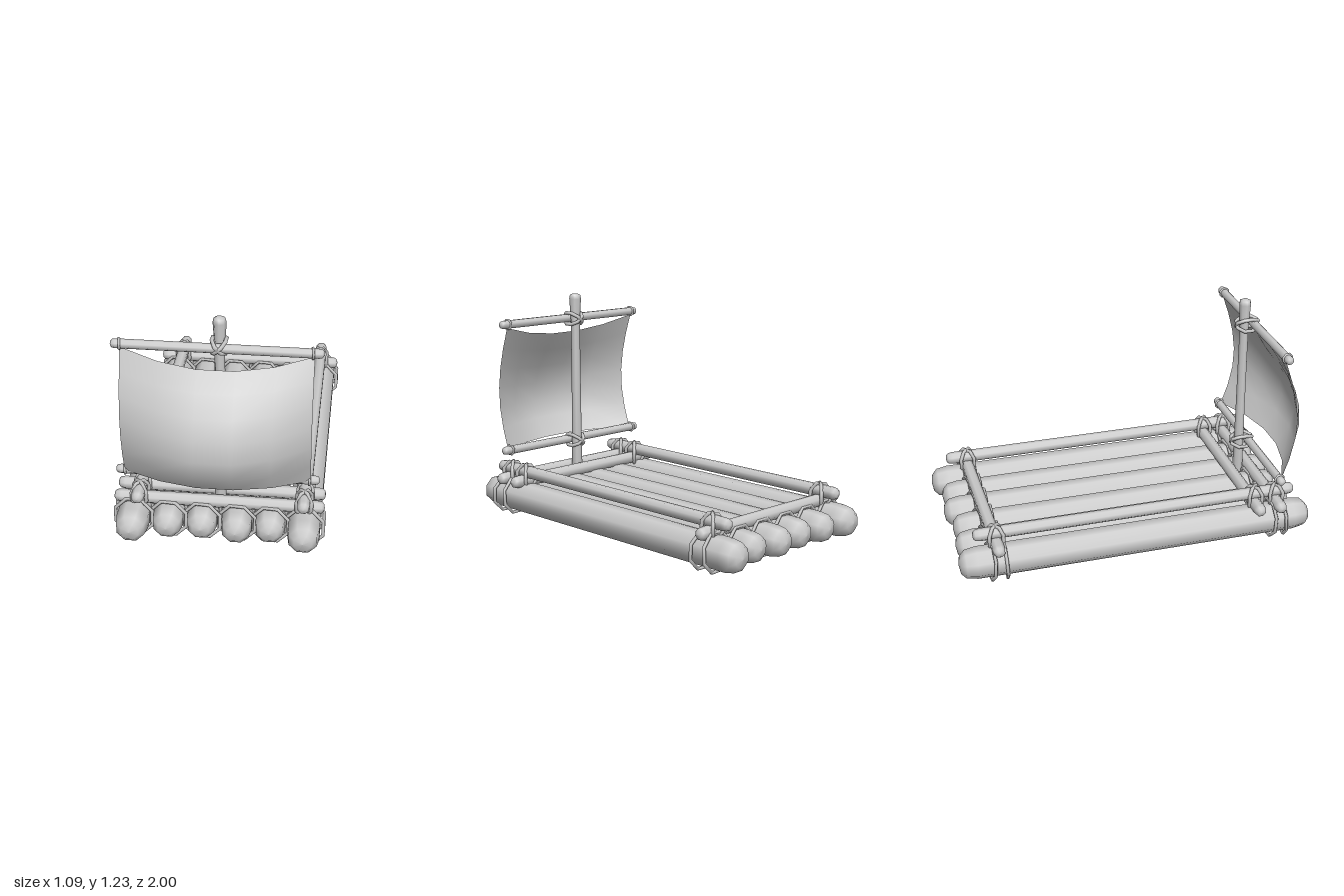
import * as THREE from 'three';

const V = (x, y, z) => new THREE.Vector3(x, y, z);

export function createModel() {
  const raft = new THREE.Group();
  raft.name = 'raft';
  const wood = new THREE.MeshStandardMaterial({ color: 0xcccccc });
  const cloth = new THREE.MeshStandardMaterial({ color: 0xcccccc, side: THREE.DoubleSide });

  const add = (name, geometry, material = wood) => {
    const mesh = new THREE.Mesh(geometry, material);
    mesh.name = name;
    raft.add(mesh);
    return mesh;
  };

  // Round-ended timber from a to b along the x or z axis
  const timber = (name, axis, a, b, r, x, y, z) => {
    const end = [[0, 0], [0.55, 0.1], [0.88, 0.4], [1, 1.1]];
    const profile = end.map(([p, q]) => new THREE.Vector2(p * r, a + q * r));
    end.reverse().forEach(([p, q]) => profile.push(new THREE.Vector2(p * r, b - q * r)));
    const g = new THREE.LatheGeometry(profile, 8);
    g.rotateY(Math.PI / 8);
    if (axis === 'x') g.rotateZ(-Math.PI / 2);
    else g.rotateX(Math.PI / 2);
    add(name, g).position.set(x, y, z);
  };

  // Closed rope loop spanned by two half-axes
  const loop = (name, c, u, v, r = 0.011, n = 8) => {
    const pts = [];
    for (let i = 0; i < n; i++) {
      const t = ((i + 0.5) / n) * Math.PI * 2;
      pts.push(c.clone().addScaledVector(u, Math.cos(t)).addScaledVector(v, Math.sin(t)));
    }
    add(name, new THREE.TubeGeometry(new THREE.CatmullRomCurve3(pts, true), n, r, 5, true));
  };

  // Deck logs: x, radius, back end, front end
  const logs = [
    [-0.44, 0.087, -0.995, 0.96],
    [-0.26, 0.082, -0.98, 0.91],
    [-0.085, 0.082, -0.965, 0.9],
    [0.095, 0.083, -0.985, 0.92],
    [0.265, 0.082, -0.965, 0.9],
    [0.44, 0.087, -1, 0.965],
  ];
  for (const [x, r, back, front] of logs) {
    timber('deckLog', 'z', back, front, r, x, 0.117, 0);
    for (const z of [0.77, -0.785]) {
      for (const s of [-1, 1]) {
        const k = r + 0.018;
        loop('logLashing', V(x, 0.117, z + s * 0.038), V(k, 0, 0.008 * s), V(0, k, -0.006 * s), 0.01);
      }
    }
  }

  // Crossbeams, side rails and the crossed ropes that join them
  const beams = [0.77, 0.65, -0.79];
  const rails = [-0.41, 0.435];
  for (const z of beams) timber('crossbeam', 'x', -0.545, 0.54, 0.034, 0, 0.215, z);
  for (const x of rails) {
    timber('sideRail', 'z', -0.91, 0.88, 0.034, x, 0.265, 0);
    for (const z of beams) {
      for (const s of [-1, 1]) {
        loop('railLashing', V(x, 0.24, z), V(0.04, 0, 0.04 * s), V(0, 0.07, 0));
      }
    }
  }

  // Mast with a flared head
  const mastProfile = [
    [0, 0.16], [0.031, 0.16], [0.027, 0.6], [0.026, 1.08],
    [0.034, 1.21], [0.03, 1.232], [0.015, 1.24], [0, 1.24],
  ].map(([r, y]) => new THREE.Vector2(r, y));
  add('mast', new THREE.LatheGeometry(mastProfile, 8)).position.z = 0.713;

  // Yards with mast lashings and sail ties
  for (const y of [1.095, 0.375]) {
    timber('yard', 'x', -0.53, 0.51, 0.024, 0, y, 0.765);
    for (const s of [-1, 1]) {
      loop('mastLashing', V(0, y, 0.73), V(0.036, 0.034 * s, 0), V(0, 0, 0.066));
    }
    for (const x of [-0.485, 0.455]) {
      loop('sailTie', V(x, y, 0.765), V(0, 0.026, 0), V(0.004, 0, 0.026), 0.007);
    }
  }

  // Billowing sail: edge and centre depth at rising heights
  const edgeZ = [0.775, 0.815, 0.84, 0.845, 0.83, 0.8, 0.76];
  const midZ = [0.9, 0.975, 1, 0.985, 0.945, 0.88, 0.82];
  const cols = 5, rows = 6;
  const sail = new THREE.PlaneGeometry(1, 1, cols, rows);
  const p = sail.attributes.position;
  for (let i = 0; i < p.count; i++) {
    const u = p.getX(i) * 2;
    const t = p.getY(i) + 0.5;
    const row = Math.round(t * rows);
    const belly = Math.min(1, (1 - u * u) / 0.96);
    const top = 1.075 - 0.07 * belly;
    p.setXYZ(i, -0.01 + u * 0.475, 0.375 + t * (top - 0.375),
      THREE.MathUtils.lerp(edgeZ[row], midZ[row], belly));
  }
  sail.computeVertexNormals();
  add('sail', sail, cloth);

  return raft;
}
